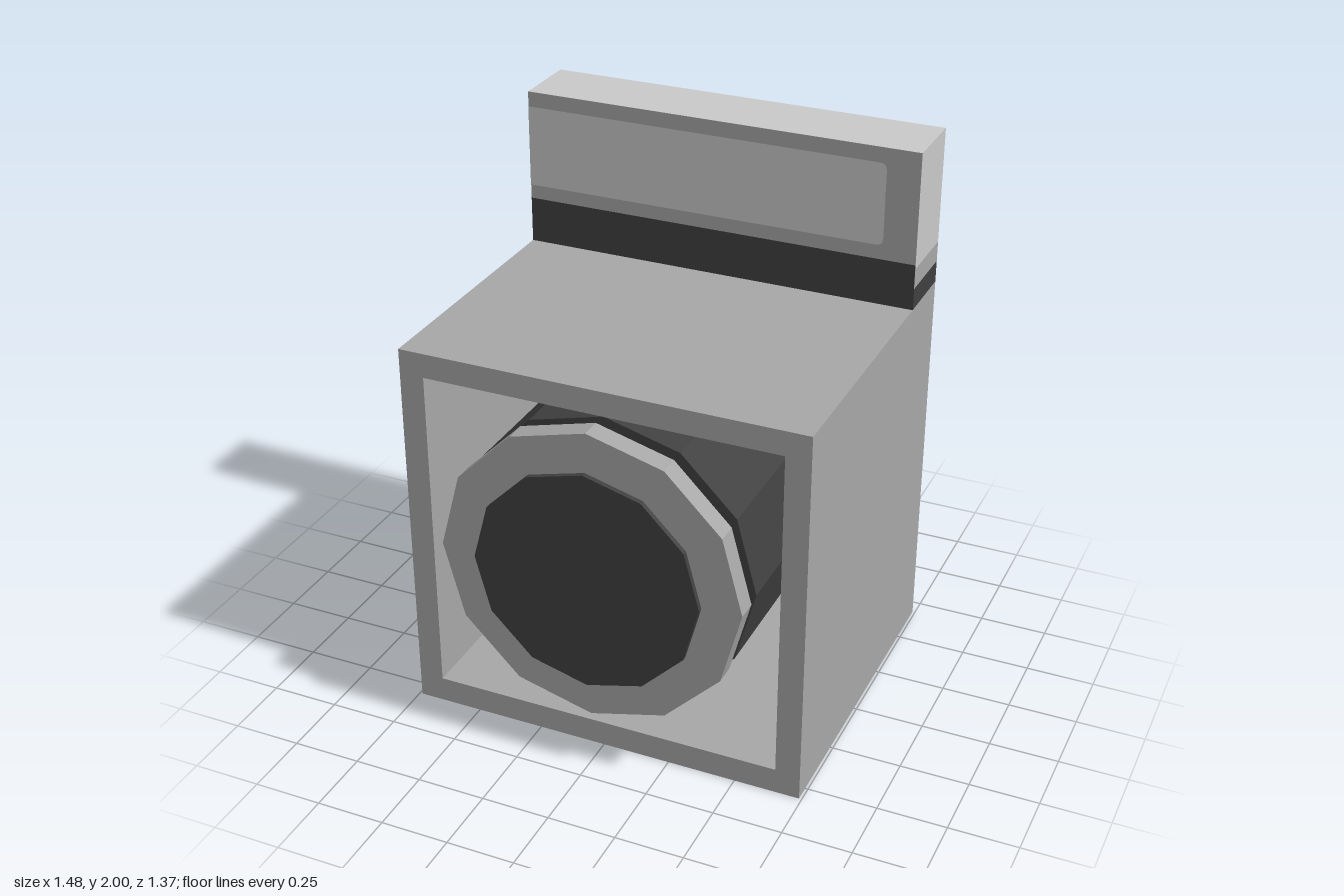
import * as THREE from 'three';

const mat = (name, color) => {
  const m = new THREE.MeshStandardMaterial({ color });
  m.name = name;
  return m;
};

export function createModel() {
  const grey = mat('mid grey', 0xa7a7a7);
  const light = mat('light grey', 0xc9c9c9);
  const dark = mat('dark grey', 0x404040);
  const model = new THREE.Group();
  model.name = 'washingMachine';

  const W = 0.74, H = 1.42, FRONT = 0.56, BACK = -0.685, INNER = -0.6, PANEL = -0.427;
  const DOOR_Y = 0.757;

  const add = (name, geo, material, x = 0, y = 0, z = 0) => {
    const mesh = new THREE.Mesh(geo, material);
    mesh.name = name;
    mesh.position.set(x, y, z);
    model.add(mesh);
    return mesh;
  };
  // box spanning the full width between two heights and two depths
  const slab = (name, material, y0, y1, z0, z1) =>
    add(name, new THREE.BoxGeometry(2 * W, y1 - y0, z1 - z0), material, 0, (y0 + y1) / 2, (z0 + z1) / 2);
  // twelve-sided disc facing the front
  const disc = (name, material, r, z0, z1) => {
    const geo = new THREE.CylinderGeometry(r, r, z1 - z0, 12).toNonIndexed();
    geo.rotateX(Math.PI / 2);
    geo.computeVertexNormals();
    return add(name, geo, material, 0, DOOR_Y, (z0 + z1) / 2);
  };
  const rect = (T, x0, y0, x1, y1) => new T([
    new THREE.Vector2(x0, y0), new THREE.Vector2(x1, y0),
    new THREE.Vector2(x1, y1), new THREE.Vector2(x0, y1)]);

  // cabinet with an open front
  const shell = rect(THREE.Shape, -W, 0, W, H);
  shell.holes.push(rect(THREE.Path, -0.65, 0.095, 0.65, 1.33));
  add('cabinet', new THREE.ExtrudeGeometry(shell, { depth: FRONT - INNER, bevelEnabled: false }), grey, 0, 0, INNER);
  slab('cabinetBack', grey, 0, H, BACK, INNER);

  // drum and door
  disc('drum', dark, 0.55, INNER, 0.52);
  disc('doorRing', grey, 0.555, 0.576, 0.655);
  disc('doorGlass', dark, 0.415, 0.666, 0.685);

  // control panel in three bands
  slab('panelBase', dark, H, 1.5, BACK, PANEL);
  slab('panelTrim', grey, 1.5, 1.575, BACK, PANEL);
  slab('panelTop', light, 1.575, 2, BACK, PANEL);

  // painted front of the control panel
  add('panelFaceLower', new THREE.ShapeGeometry(rect(THREE.Shape, -W, H, W, 1.59)), dark, 0, 0, PANEL + 0.002);
  add('panelFaceUpper', new THREE.ShapeGeometry(rect(THREE.Shape, -W, 1.59, W, 2)), grey, 0, 0, PANEL + 0.002);
  const x1 = 0.62, y0 = 1.643, y1 = 1.945, c = 0.025;
  const display = new THREE.Shape();
  display.moveTo(-W, y0);
  display.lineTo(x1 - c, y0);
  display.quadraticCurveTo(x1, y0, x1, y0 + c);
  display.lineTo(x1, y1 - c);
  display.quadraticCurveTo(x1, y1, x1 - c, y1);
  display.lineTo(-W, y1);
  add('panelDisplay', new THREE.ShapeGeometry(display, 3), light, 0, 0, PANEL + 0.004);

  return model;
}
